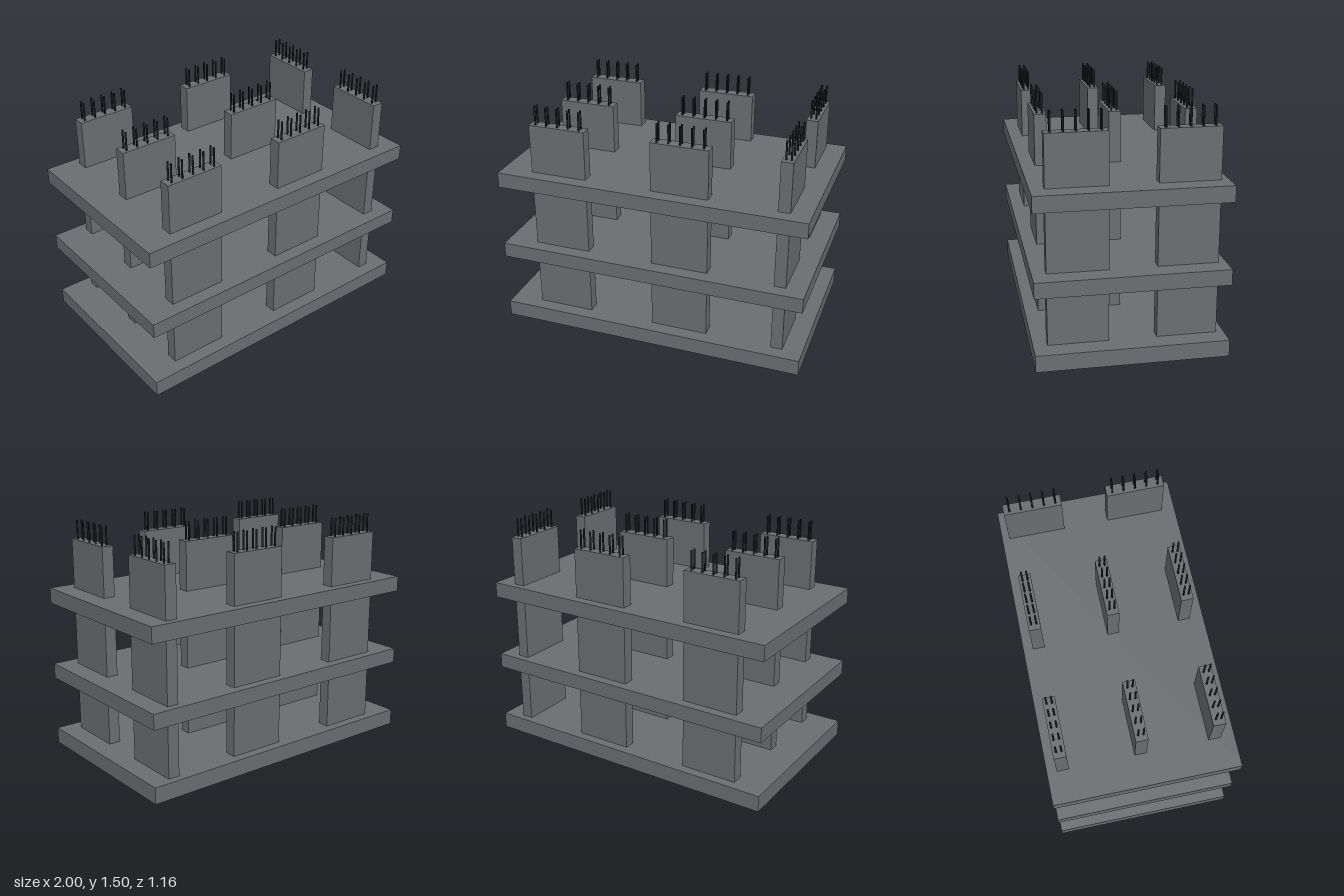
import * as THREE from 'three';

const concrete = new THREE.MeshStandardMaterial({ name: 'concrete grey', color: 0x6a6d70 });
const steel = new THREE.MeshStandardMaterial({ name: 'dark steel', color: 0x1c1f23 });

const COLUMN_TOP = 1.385;
const BAR_TOP = 1.505;
const BAR_EMBED = 0.02;

const columnGeometry = new THREE.BoxGeometry(0.37, COLUMN_TOP - 0.05, 0.075);
const barGeometry = new THREE.CylinderGeometry(0.006, 0.006, BAR_TOP - COLUMN_TOP + BAR_EMBED, 8);

// Wall-like column with two rows of five starter bars on top
function createColumn(x, z, turned) {
  const group = new THREE.Group();
  group.name = 'column';
  const shaft = new THREE.Mesh(columnGeometry, concrete);
  shaft.name = 'columnShaft';
  shaft.position.y = (COLUMN_TOP + 0.05) / 2;
  group.add(shaft);
  for (let i = -2; i <= 2; i++) {
    for (const side of [-1, 1]) {
      const bar = new THREE.Mesh(barGeometry, steel);
      bar.name = 'reinforcingBar';
      bar.position.set(i * 0.0735, (BAR_TOP + COLUMN_TOP - BAR_EMBED) / 2, side * 0.016);
      group.add(bar);
    }
  }
  group.position.set(x, 0, z);
  if (turned) group.rotation.y = Math.PI / 2;
  return group;
}

export function createModel() {
  const model = new THREE.Group();
  model.name = 'concreteFrame';

  // Floor slabs, given by bottom and top height
  for (const [bottom, top] of [[0, 0.104], [0.458, 0.556], [0.966, 1.066]]) {
    const slab = new THREE.Mesh(new THREE.BoxGeometry(2, top - bottom, 1.164), concrete);
    slab.name = 'floorSlab';
    slab.position.y = (bottom + top) / 2;
    model.add(slab);
  }

  // Two rows of three columns facing the front
  for (const x of [-0.616, 0.185]) {
    for (const z of [-0.483, -0.003, 0.457]) model.add(createColumn(x, z, false));
  }

  // Two columns turned sideways at the left end
  for (const z of [-0.35, 0.311]) model.add(createColumn(0.835, z, true));

  return model;
}
